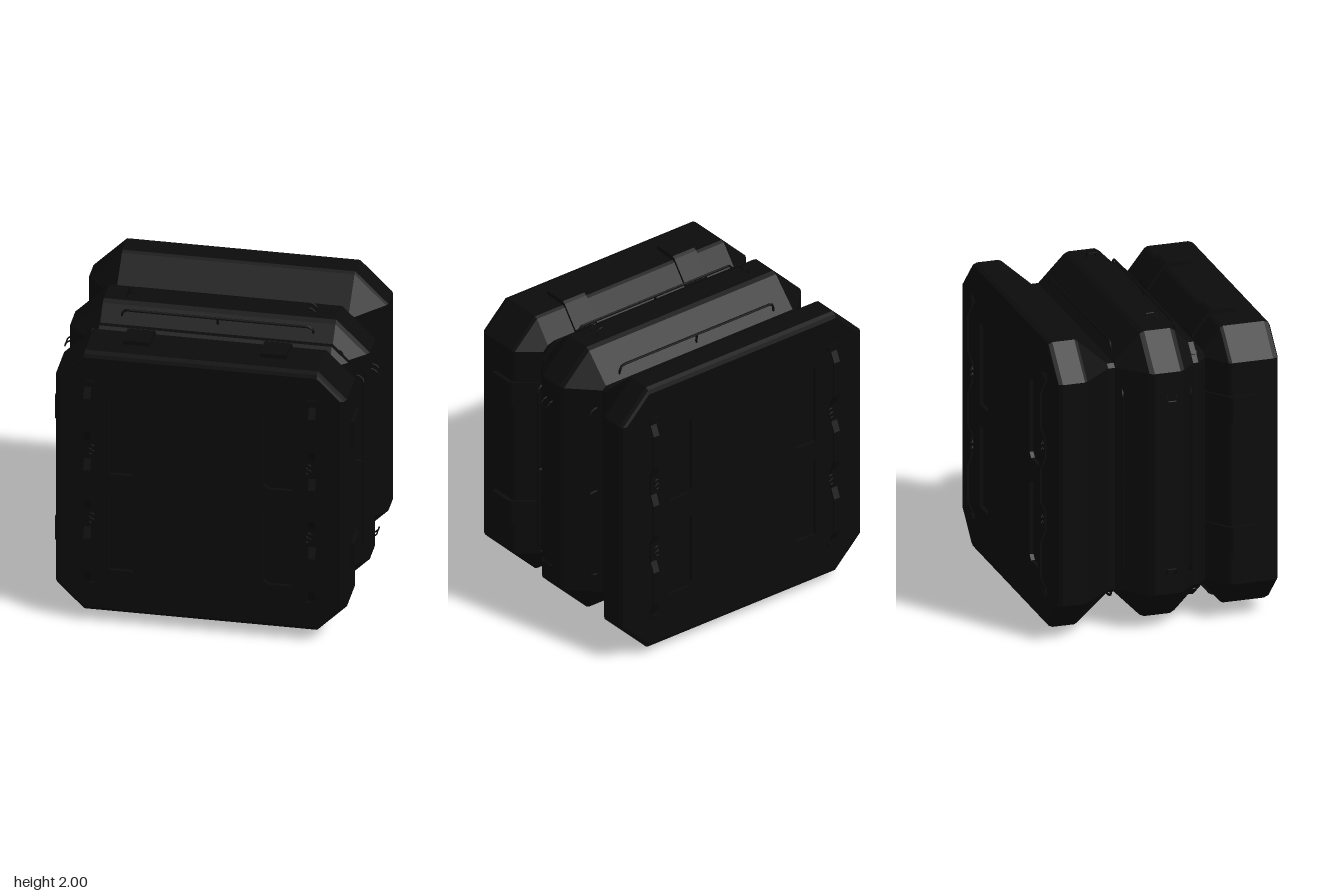
import * as THREE from 'three';

const C = 0.74; // corner chamfers start at this distance from the axis

// Chamfered square of half-width r, counter-clockwise
const octagon = (r) => [[r, -C], [r, C], [C, r], [-C, r], [-r, C], [-r, -C], [-C, -r], [C, -r]];

// Skin through chamfered squares given as [z, r], back to front
function loft(profile) {
  const pos = [];
  for (let k = 0; k < profile.length - 1; k++) {
    const [z0, r0] = profile[k], [z1, r1] = profile[k + 1];
    const p = octagon(r0), q = octagon(r1);
    for (let i = 0; i < 8; i++) {
      const j = (i + 1) % 8;
      const a = [...p[i], z0], b = [...p[j], z0], c = [...q[j], z1], d = [...q[i], z1];
      pos.push(...a, ...b, ...c, ...a, ...c, ...d);
    }
  }
  const g = new THREE.BufferGeometry();
  g.setAttribute('position', new THREE.Float32BufferAttribute(pos, 3));
  g.computeVertexNormals();
  return g;
}

const toShape = (pts) => new THREE.Shape(pts.map(([x, y]) => new THREE.Vector2(x, y)));

// Tube along straight runs with crisp bends
function wire(points, radius) {
  const path = new THREE.CurvePath();
  const v = points.map((p) => new THREE.Vector3(...p));
  for (let i = 0; i < v.length - 1; i++) path.add(new THREE.LineCurve3(v[i], v[i + 1]));
  return new THREE.TubeGeometry(path, 48, radius, 6, false);
}

export function createModel() {
  const model = new THREE.Group();
  const black = new THREE.MeshStandardMaterial({ color: 0x0b0b0b });
  black.name = 'matte black';

  const add = (parent, name, geometry) => {
    const mesh = new THREE.Mesh(geometry, black);
    mesh.name = name;
    parent.add(mesh);
    return mesh;
  };

  const crate = new THREE.Group();
  crate.name = 'crate';
  crate.position.y = 1;
  model.add(crate);

  // Three-banded body with deep grooves between the bands
  add(crate, 'body', loft([
    [-0.74, 0.915], [-0.73, 0.94], [-0.705, 0.952], [-0.56, 0.952], [-0.54, 0.94],
    [-0.345, 0.765], [-0.3, 0.765], [-0.13, 0.94], [-0.1, 0.953], [0.07, 0.953], [0.1, 0.935],
    [0.19, 0.843], [0.225, 0.843], [0.29, 0.775], [0.4, 0.915], [0.42, 0.925],
    [0.69, 0.925], [0.72, 0.912], [0.73, 0.89],
  ]));

  // End faces with four recessed pockets each
  for (const [name, front, r, turn] of [['frontPanel', 0.73, 0.89, 0], ['backPanel', 0.74, 0.915, Math.PI]]) {
    const panel = new THREE.Group();
    panel.name = name;
    panel.rotation.y = turn;
    crate.add(panel);
    const face = toShape(octagon(r));
    for (const sx of [-1, 1]) for (const sy of [-1, 1]) {
      const x0 = sx * 0.4, x1 = sx * 0.58, y0 = sy * 0.07, y1 = sy * 0.615, c = 0.03;
      face.holes.push(new THREE.Path([
        [x0, y0 + sy * c], [x0 + sx * c, y0], [x1, y0], [x1, y1], [x0 + sx * c, y1], [x0, y1 - sy * c],
      ].map(([x, y]) => new THREE.Vector2(x, y))));
      const floor = add(panel, 'pocketFloor', new THREE.BoxGeometry(0.2, 0.57, 0.01));
      floor.position.set(sx * 0.49, sy * 0.3425, front - 0.03);
    }
    const plate = add(panel, 'endFace', new THREE.ExtrudeGeometry(face, { depth: 0.03, bevelEnabled: false }));
    plate.position.z = front - 0.03;

    // Wavy strap rails standing off the face, with clamps
    const wave = [[0.74, 0.006], [0.69, 0.006], [0.62, 0.038], [0.38, 0.038], [0.31, 0.008], [0.18, 0.008], [0.11, 0.038]];
    const full = [...wave, ...wave.slice().reverse().map(([y, z]) => [-y, z])];
    const t = 0.012;
    const strip = toShape([...full.map(([y, z]) => [z + t / 2, y]), ...full.reverse().map(([y, z]) => [z - t / 2, y])]);
    for (const sx of [-1, 1]) {
      const rail = add(panel, 'strapRail', new THREE.ExtrudeGeometry(strip, { depth: 0.045, bevelEnabled: false }));
      rail.rotation.y = -Math.PI / 2;
      rail.position.set(sx * 0.715 + 0.0225, 0, front);
      // extrusion profile points outwards along +z after the turn
      for (const y of [-0.245, 0.245]) {
        for (const dy of [-0.018, 0.018]) {
          const clamp = add(panel, 'railClamp', new THREE.TorusGeometry(0.016, 0.006, 6, 12));
          clamp.position.set(sx * 0.69, y + dy, front + 0.014);
        }
      }
      for (const y of [-0.72, 0.72]) {
        const foot = add(panel, 'railFoot', new THREE.BoxGeometry(0.05, 0.025, 0.02));
        foot.position.set(sx * 0.695, y, front + 0.01);
      }
    }
  }

  // Fittings repeated on the four sides
  const hinge = toShape([[0.29, 0.76], [0.29, 0.802], [0.4, 0.94], [0.42, 0.952], [0.58, 0.952], [0.58, 0.91], [0.42, 0.91]]);
  for (let side = 0; side < 4; side++) {
    const fittings = new THREE.Group();
    fittings.name = 'sideFittings';
    fittings.rotation.z = side * Math.PI / 2;
    crate.add(fittings);

    for (const sx of [-1, 1]) {
      // Raised plates wrapping the front band
      const plate = add(fittings, 'wrapPlate', new THREE.ExtrudeGeometry(hinge, { depth: 0.17, bevelEnabled: false }));
      plate.rotation.y = -Math.PI / 2;
      plate.position.x = sx * 0.435 + 0.085;

      // Curved wire loops on the middle band
      add(fittings, 'wireLoop', wire([
        [sx * 0.605, 0.945, -0.03], [sx * 0.597, 0.972, -0.03], [sx * 0.58, 0.99, -0.03], [sx * 0.56, 0.995, -0.03],
        [sx * 0.56, 0.995, 0.03], [sx * 0.58, 0.99, 0.03], [sx * 0.597, 0.972, 0.03], [sx * 0.605, 0.945, 0.03],
      ], 0.005));
    }

    // Long grab bars above both slopes of the middle band
    for (const [z, r, baseZ, baseR] of [[-0.275, 0.85, -0.27, 0.79], [0.148, 0.925, 0.145, 0.88]]) {
      add(fittings, 'grabBar', wire([
        [-0.61, baseR, baseZ], [-0.605, r - 0.015, z], [-0.585, r, z],
        [0.585, r, z], [0.605, r - 0.015, z], [0.61, baseR, baseZ],
      ], 0.008));
      add(fittings, 'barPost', wire([[0, baseR, baseZ], [0, r, z]], 0.008));
    }
  }

  // Small bolts on the corner chamfers
  for (let i = 0; i < 4; i++) {
    const corner = new THREE.Group();
    corner.name = 'cornerBolt';
    corner.rotation.z = Math.PI / 4 + i * Math.PI / 2;
    crate.add(corner);
    const bolt = add(corner, 'boltHead', new THREE.CylinderGeometry(0.02, 0.02, 0.015, 12));
    bolt.rotation.z = -Math.PI / 2;
    bolt.position.set((0.843 + C) / Math.SQRT2, 0, 0.207);
  }

  // Mirror the strap rail profile so its crests face outwards
  crate.traverse((o) => {
    if (o.name === 'strapRail' || o.name === 'wrapPlate') o.updateMatrix();
  });
  return model;
}
